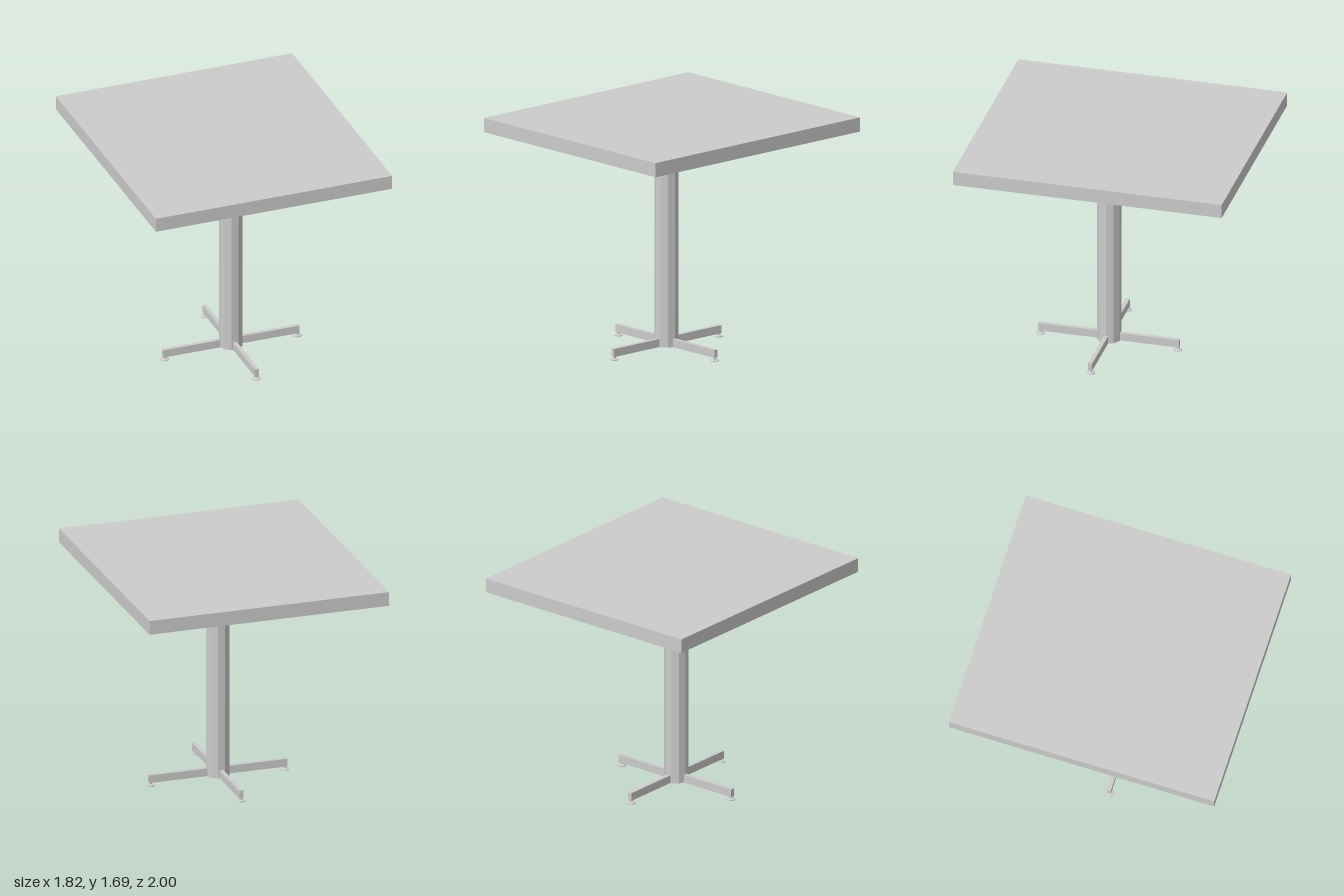
import * as THREE from 'three';

const material = new THREE.MeshStandardMaterial({ color: 0xcccccc, flatShading: true });

function add(parent, name, geometry, x = 0, y = 0, z = 0) {
  const mesh = new THREE.Mesh(geometry, material);
  mesh.name = name;
  mesh.position.set(x, y, z);
  parent.add(mesh);
  return mesh;
}

// Box between two heights
function slab(parent, name, width, depth, bottom, top) {
  return add(parent, name, new THREE.BoxGeometry(width, top - bottom, depth), 0, (bottom + top) / 2, 0);
}

function rectangle(Type, x, z) {
  return new Type([[-x, -z], [x, -z], [x, z], [-x, z]].map(p => new THREE.Vector2(...p)));
}

function createTop() {
  const top = new THREE.Group();
  top.name = 'tableTop';
  const halfX = 0.91, halfZ = 1, rimWidth = 0.096, panelInset = 0.187;
  const bottom = 1.585, grooveCeiling = 1.63;

  slab(top, 'topSlab', halfX * 2, halfZ * 2, grooveCeiling, 1.69);

  // Hanging rim around the underside
  const frame = rectangle(THREE.Shape, halfX, halfZ);
  frame.holes.push(rectangle(THREE.Path, halfX - rimWidth, halfZ - rimWidth));
  const rim = new THREE.ExtrudeGeometry(frame, { depth: grooveCeiling - bottom, bevelEnabled: false });
  rim.rotateX(-Math.PI / 2);
  add(top, 'rim', rim, 0, bottom, 0);

  // Shallow panel inside the groove
  slab(top, 'undersidePanel', (halfX - panelInset) * 2, (halfZ - panelInset) * 2, 1.605, grooveCeiling);
  return top;
}

// Two crossing bars
function createCross(name, length, bottom, top) {
  const cross = new THREE.Group();
  cross.name = name;
  slab(cross, name + 'BarX', length, 0.03, bottom, top);
  slab(cross, name + 'BarZ', 0.03, length, bottom, top);
  return cross;
}

function createPedestal() {
  const pedestal = new THREE.Group();
  pedestal.name = 'pedestal';

  // Ten-sided column with corners on the x axis
  const radius = 0.088, bottom = 0.025, top = 1.545;
  const column = new THREE.CylinderGeometry(radius, radius, top - bottom, 10);
  column.rotateY(Math.PI / 2);
  add(pedestal, 'column', column, 0, (bottom + top) / 2, 0);

  pedestal.add(createCross('topSupport', 0.92, 1.544, 1.605));
  pedestal.add(createCross('base', 1.05, 0.025, 0.084));

  // Glide feet under the ends of the base
  const profile = [[0, 0], [0.032, 0], [0.032, 0.006], [0.011, 0.012], [0.009, 0.027], [0, 0.027]];
  const foot = new THREE.LatheGeometry(profile.map(p => new THREE.Vector2(...p)), 12);
  for (let i = 0; i < 4; i++) {
    const angle = i * Math.PI / 2;
    add(pedestal, 'foot', foot, 0.51 * Math.cos(angle), 0, 0.51 * Math.sin(angle));
  }
  return pedestal;
}

export function createModel() {
  const table = new THREE.Group();
  table.name = 'table';
  table.add(createTop());
  // The pedestal stands slightly off centre
  const pedestal = createPedestal();
  pedestal.position.set(0.023, 0, 0.075);
  table.add(pedestal);
  return table;
}
